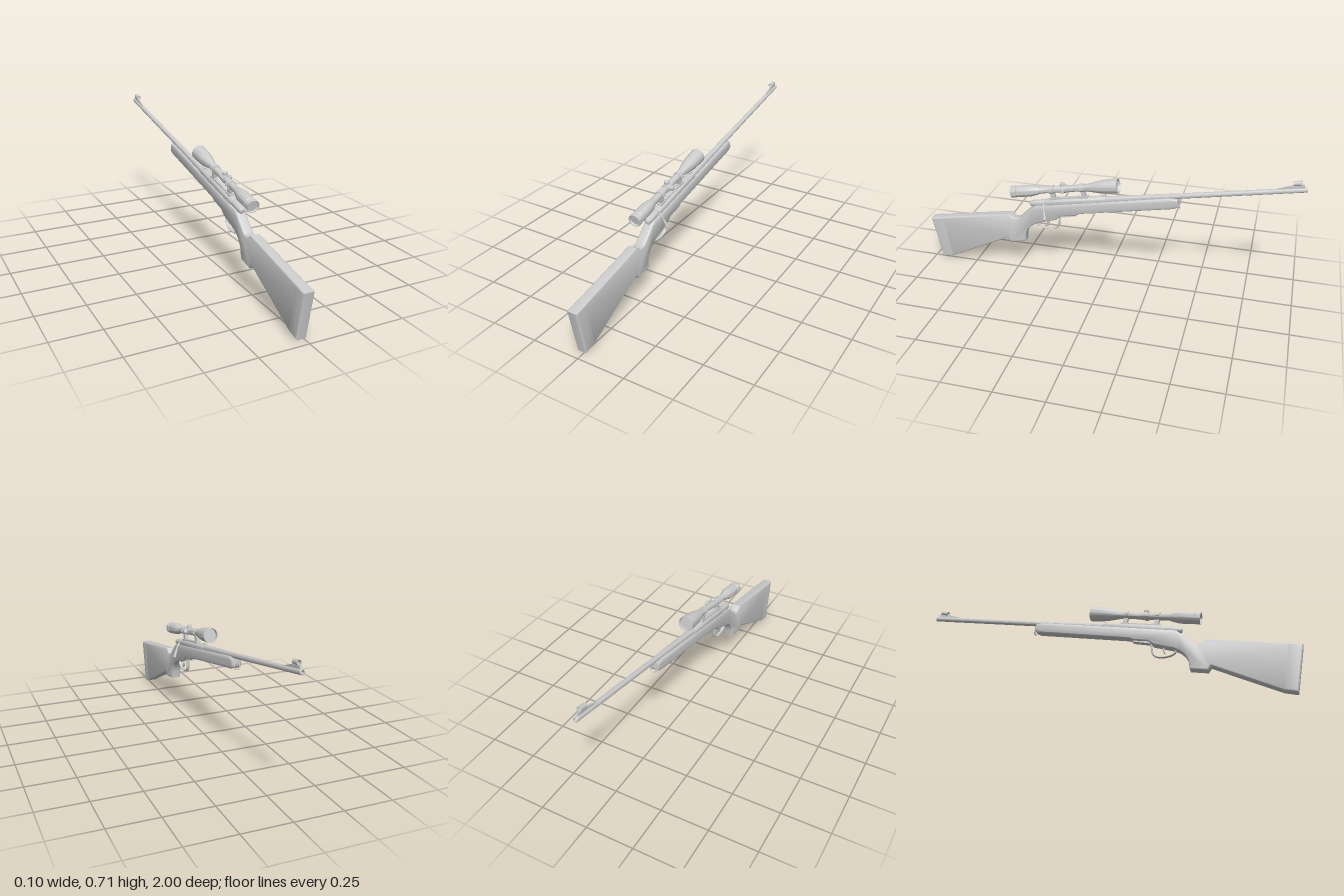
import * as THREE from 'three';
import { toCreasedNormals } from 'three/addons/utils/BufferGeometryUtils.js';

const CX = -0.012;                 // centre plane of the rifle
const TILT = Math.atan(0.185);     // upward tilt of the bore
const mat = new THREE.MeshStandardMaterial({ color: 0xcccccc });
const matDouble = new THREE.MeshStandardMaterial({ color: 0xcccccc, side: THREE.DoubleSide });

function add(parent, name, geo, x = 0, y = 0, z = 0, material = mat) {
  const m = new THREE.Mesh(geo, material);
  m.name = name;
  m.position.set(x, y, z);
  parent.add(m);
  return m;
}

// Turned part along z from [radius, z] pairs
function turned(points, sides = 32) {
  const g = new THREE.LatheGeometry(points.map(p => new THREE.Vector2(p[0], p[1])), sides);
  return toCreasedNormals(g.rotateX(Math.PI / 2), 0.5);
}

// Side profile in (z, y), extruded across x with rounded edges
function slab(shape, width, bevel) {
  const g = new THREE.ExtrudeGeometry(shape, {
    depth: width - 2 * bevel, bevelEnabled: bevel > 0, bevelThickness: bevel,
    bevelSize: bevel, bevelOffset: -bevel, bevelSegments: 4, curveSegments: 10,
  });
  g.translate(0, 0, -(width - 2 * bevel) / 2).rotateY(-Math.PI / 2);
  return toCreasedNormals(g, 0.6);
}

const polygon = pts => new THREE.Shape(pts.map(p => new THREE.Vector2(p[0], p[1])));

function tube(pts, r, segments = 32) {
  const curve = new THREE.CatmullRomCurve3(pts.map(p => new THREE.Vector3(...p)));
  return new THREE.TubeGeometry(curve, segments, r, 10);
}

function addStock(g) {
  const s = new THREE.Shape();
  s.moveTo(1.0, 0.246);
  s.lineTo(0.952, 0.0);
  s.lineTo(0.885, 0.017);
  s.lineTo(0.55, 0.182);
  s.lineTo(0.533, 0.16);
  s.lineTo(0.444, 0.176);
  s.lineTo(0.441, 0.215);
  s.quadraticCurveTo(0.425, 0.285, 0.345, 0.307);
  s.lineTo(0.262, 0.335);
  s.lineTo(0.235, 0.36);
  s.lineTo(0.16, 0.373);
  s.lineTo(0.135, 0.387);
  s.lineTo(-0.355, 0.483);
  s.quadraticCurveTo(-0.385, 0.49, -0.387, 0.51);
  s.lineTo(-0.38, 0.538);
  s.lineTo(-0.34, 0.54);
  s.lineTo(0.385, 0.4);
  s.quadraticCurveTo(0.42, 0.37, 0.476, 0.314);
  s.lineTo(0.502, 0.31);
  s.lineTo(0.535, 0.331);
  s.closePath();
  add(g, 'stock', slab(s, 0.053, 0.009), CX);

  // Recoil pad, flush with the stock
  const pad = polygon([[1.0, 0.246], [0.952, 0], [0.885, 0.017], [0.925, 0.26]]);
  add(g, 'recoilPad', slab(pad, 0.054, 0.009), CX);

  const floor = polygon([[0.25, 0.345], [0.155, 0.368], [0.155, 0.385], [0.25, 0.37]]);
  add(g, 'floorPlate', slab(floor, 0.03, 0), CX);

  // Trigger and its guard
  const guard = add(g, 'triggerGuard', tube([[0, 0.315, 0.385], [0, 0.28, 0.368], [0, 0.267, 0.33],
    [0, 0.271, 0.28], [0, 0.29, 0.257], [0, 0.345, 0.25]], 0.0045), CX);
  guard.scale.x = 2;
  const trigger = add(g, 'trigger', tube([[0, 0.335, 0.325], [0, 0.305, 0.313], [0, 0.282, 0.322]], 0.005, 12), CX);
  trigger.scale.x = 1.3;

  // Sling loop at the fore-end tip
  const swivel = add(g, 'slingSwivel', new THREE.TorusGeometry(0.015, 0.003, 8, 20), CX, 0.501, -0.388);
  swivel.rotation.x = 0.2;
}

function addAction(g) {
  // Barrel with bore, stepping up to the receiver
  add(g, 'barrel', turned([[0, -0.97], [0.007, -0.97], [0.007, -1.01], [0.009, -1.014], [0.012, -1.012],
    [0.0125, -1.0], [0.0135, -0.4], [0.017, -0.12], [0.018, 0.02], [0, 0.02]]));
  add(g, 'receiver', turned([[0, -0.01], [0.021, -0.01], [0.022, -0.005], [0.022, 0.325], [0.019, 0.335], [0, 0.335]]));
  add(g, 'boltShroud', turned([[0.017, 0.32], [0.0185, 0.35], [0.0185, 0.4], [0.015, 0.415], [0.008, 0.421], [0, 0.422]]));
  add(g, 'ejectionPortCover', new THREE.BoxGeometry(0.02, 0.008, 0.12), 0, 0.022, 0.195);
  add(g, 'rearSightBase', new THREE.BoxGeometry(0.012, 0.012, 0.018), 0, 0.02, 0.005);

  // Bolt handle on the left side
  add(g, 'boltHandle', tube([[0.005, -0.002, 0.335], [0.022, -0.004, 0.335], [0.034, -0.02, 0.335], [0.042, -0.04, 0.335]], 0.0055));
  const knob = add(g, 'boltKnob', turned([[0, -0.026], [0.005, -0.026], [0.0085, -0.022], [0.0065, 0.022], [0, 0.026]], 16), 0.048, -0.055, 0.335);
  knob.quaternion.setFromUnitVectors(new THREE.Vector3(0, 0, -1), new THREE.Vector3(0.35, -0.94, 0).normalize());

  // Front sight: ramp, post and hood
  const ramp = polygon([[-0.85, 0.009], [-0.925, 0.024], [-1.0, 0.026], [-1.0, 0.009]].reverse());
  add(g, 'frontSightRamp', slab(ramp, 0.01, 0));
  add(g, 'frontSightPost', new THREE.BoxGeometry(0.003, 0.016, 0.006), 0, 0.032, -0.972);
  add(g, 'frontSightHood', turned([[0.0095, -0.99], [0.012, -0.99], [0.012, -0.95], [0.0095, -0.95], [0.0095, -0.99]], 24),
    0, 0.037, 0, matDouble);
}

function addScope(g) {
  const scope = new THREE.Group();
  scope.name = 'scope';
  scope.position.y = 0.074;
  g.add(scope);
  // Objective bell, tube and eyepiece, with recessed lenses
  add(scope, 'scopeBody', turned([[0, -0.07], [0.034, -0.07], [0.036, -0.085], [0.039, -0.085], [0.039, -0.07],
    [0.036, -0.01], [0.033, 0.015], [0.022, 0.07], [0.018, 0.095], [0.018, 0.345], [0.021, 0.352],
    [0.028, 0.385], [0.031, 0.4], [0.031, 0.475], [0.029, 0.478], [0.029, 0.482], [0.032, 0.485],
    [0.032, 0.508], [0.029, 0.508], [0.027, 0.498], [0, 0.498]], 40));

  // Adjustment turrets, one on top and one on the left
  add(scope, 'turretCollar', turned([[0, 0.193], [0.021, 0.193], [0.021, 0.237], [0, 0.237]]));
  const cap = turned([[0.008, 0], [0.008, 0.02], [0.013, 0.02], [0.013, 0.032], [0.011, 0.035], [0, 0.035]], 20);
  add(scope, 'topTurret', cap, 0, 0, 0.215).rotation.x = -Math.PI / 2;
  add(scope, 'sideTurret', cap, 0, 0, 0.215).rotation.y = Math.PI / 2;

  // Rings and mounts down to the receiver
  for (const z of [0.11, 0.28]) {
    add(scope, 'mountRing', turned([[0.018, z - 0.013], [0.022, z - 0.013], [0.022, z + 0.013], [0.018, z + 0.013]]));
    add(scope, 'mountPost', new THREE.BoxGeometry(0.018, 0.045, 0.024), 0, -0.038, z);
    add(scope, 'mountFoot', new THREE.BoxGeometry(0.026, 0.01, 0.044), 0, -0.053, z);
    for (const side of [-1, 1])
      add(scope, 'ringClamp', new THREE.BoxGeometry(0.008, 0.008, 0.022), side * 0.022, 0, z);
  }
}

export function createModel() {
  const model = new THREE.Group();
  model.name = 'scopedRifle';
  addStock(model);

  // Parts that follow the tilted bore axis
  const action = new THREE.Group();
  action.name = 'action';
  action.position.set(CX, 0.48, 0);
  action.rotation.x = TILT;
  model.add(action);
  addAction(action);
  addScope(action);
  return model;
}
